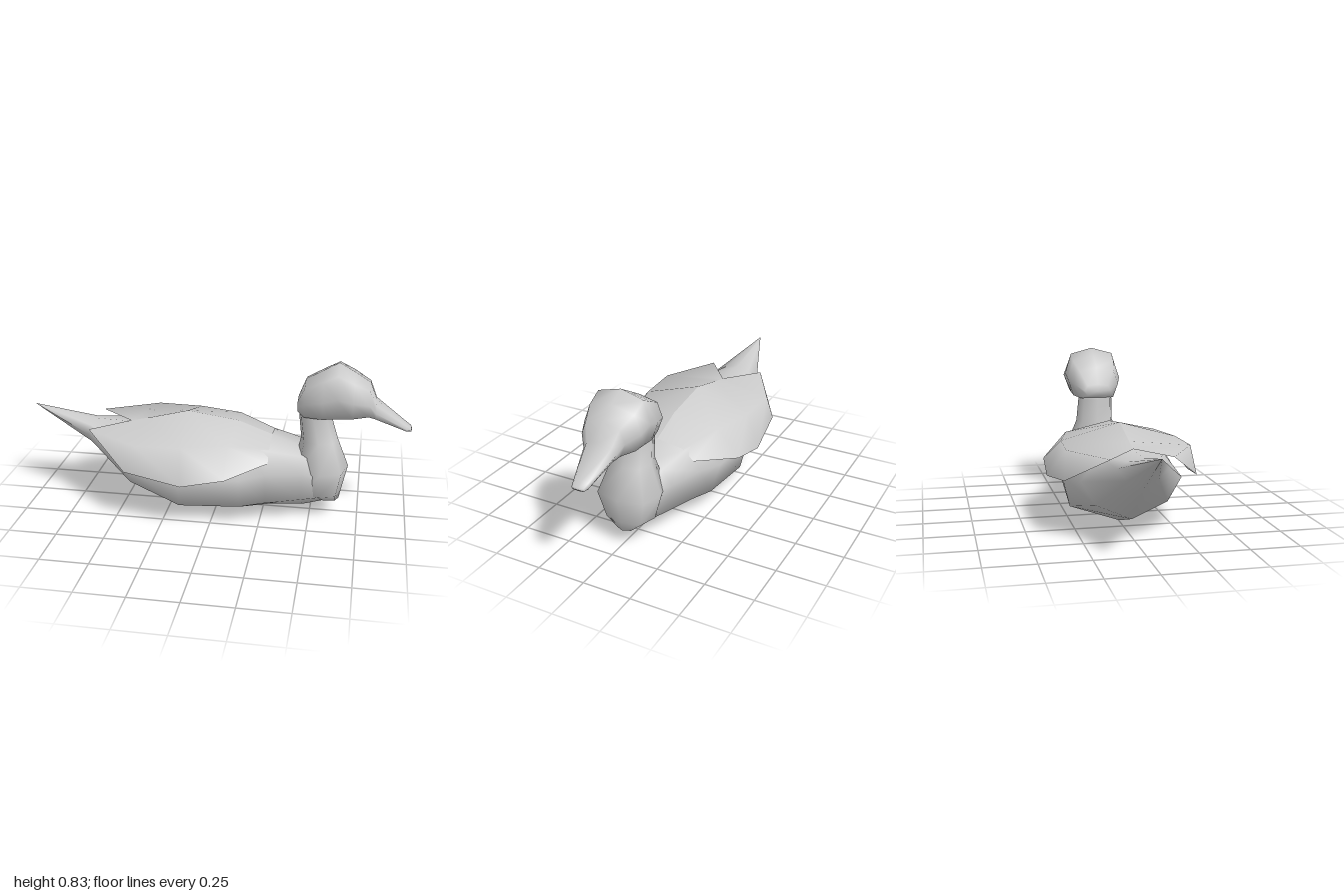
import * as THREE from 'three';

const material = new THREE.MeshStandardMaterial({ color: 0xcccccc, side: THREE.DoubleSide });

// Skins a grid of rows of [x, y, z]; closed rows wrap around like rings.
function skin(name, rows, closed, flip = false) {
  const n = rows[0].length;
  const index = [];
  for (let i = 0; i < rows.length - 1; i++) {
    for (let j = 0; j < (closed ? n : n - 1); j++) {
      const k = (j + 1) % n;
      const a = i * n + j, b = i * n + k, c = (i + 1) * n + k, d = (i + 1) * n + j;
      index.push(...(flip ? [a, c, b, a, d, c] : [a, b, c, a, c, d]));
    }
  }
  const geometry = new THREE.BufferGeometry();
  geometry.setAttribute('position', new THREE.Float32BufferAttribute(rows.flat(2), 3));
  geometry.setIndex(index);
  geometry.computeVertexNormals();
  const mesh = new THREE.Mesh(geometry, material);
  mesh.name = name;
  return mesh;
}

const point = (x, y, z = 0) => Array.from({ length: 8 }, () => [x, y, z]);

// Eight-sided body ring: top, shoulder, side, belly, keel, mirrored in z.
function bodyRing([x, top, sz, sy, wz, wy, bz, by, keel]) {
  const half = [[sz, sy], [wz, wy], [bz, by]];
  return [
    [x, top, 0], ...half.map(([z, y]) => [x, y, z]),
    [x, keel, 0], ...half.reverse().map(([z, y]) => [x, y, -z]),
  ];
}

// Slightly boxy octagon: corner points pushed outwards.
const octagon = Array.from({ length: 8 }, (_, i) => {
  const a = (i * Math.PI) / 4, r = i % 2 ? 1.1 : 1;
  return [Math.cos(a) * r, Math.sin(a) * r];
});

export function createModel() {
  const duck = new THREE.Group();
  duck.name = 'duck';

  // Body from the pointed tail to the breast
  const bodySections = [
    [-0.67, 0.445, 0.07, 0.43, 0.125, 0.4, 0.075, 0.34, 0.295],
    [-0.44, 0.44, 0.16, 0.41, 0.25, 0.29, 0.18, 0.17, 0.09],
    [-0.16, 0.5, 0.19, 0.43, 0.3, 0.26, 0.26, 0.095, 0.005],
    [0.15, 0.465, 0.19, 0.42, 0.285, 0.27, 0.235, 0.1, 0.0],
    [0.28, 0.42, 0.16, 0.39, 0.24, 0.29, 0.19, 0.11, 0.01],
    [0.46, 0.355, 0.12, 0.355, 0.175, 0.28, 0.14, 0.12, 0.025],
    [0.64, 0.3, 0.07, 0.28, 0.1, 0.22, 0.07, 0.12, 0.078],
  ];
  duck.add(skin('body', [
    point(-1, 0.51), ...bodySections.map(bodyRing), point(0.66, 0.18),
  ], true));

  // Breast and neck: [y, back x, front x, half width]
  const neckSections = [
    [0.08, 0.5, 0.65, 0.05],
    [0.13, 0.43, 0.66, 0.125],
    [0.27, 0.41, 0.69, 0.165],
    [0.42, 0.44, 0.63, 0.105],
    [0.55, 0.425, 0.59, 0.097],
    [0.64, 0.45, 0.6, 0.09],
  ];
  duck.add(skin('neck', [
    point(0.58, 0.075),
    ...neckSections.map(([y, back, front, w]) => octagon.map(([c, s]) =>
      [(back + front) / 2 + ((front - back) / 2) * Math.max(-1, Math.min(1, c)), y, -w * s])),
    point(0.52, 0.66),
  ], true));

  // Head running into the bill: [x, top y, bottom y, half width]
  const headSections = [
    [0.42, 0.64, 0.57, 0.075],
    [0.455, 0.735, 0.54, 0.125],
    [0.55, 0.79, 0.535, 0.152],
    [0.62, 0.83, 0.54, 0.155],
    [0.7, 0.785, 0.55, 0.152],
    [0.78, 0.735, 0.562, 0.115],
    [0.815, 0.645, 0.552, 0.085],
    [0.97, 0.528, 0.492, 0.045],
    [0.995, 0.51, 0.492, 0.036],
  ];
  duck.add(skin('headAndBill', [
    point(0.42, 0.6),
    ...headSections.map(([x, top, bottom, w]) => octagon.map(([c, s]) =>
      [x, (top + bottom) / 2 + ((top - bottom) / 2) * c, w * s])),
    point(1, 0.5),
  ], true));

  // Folded wings: each row runs from the back ridge over the shoulder to the lower edge
  const wingRows = [
    [[-0.47, 0.445, 0], [-0.66, 0.44, 0.15], [-0.66, 0.44, 0.15]],
    [[-0.38, 0.465, 0], [-0.38, 0.435, 0.31], [-0.43, 0.295, 0.33]],
    [[-0.16, 0.522, 0], [-0.14, 0.435, 0.3], [-0.13, 0.255, 0.372]],
    [[0.11, 0.485, 0], [0.09, 0.435, 0.24], [0.09, 0.3, 0.36]],
    [[0.29, 0.418, 0], [0.29, 0.395, 0.14], [0.29, 0.34, 0.205]],
  ];
  for (const [name, side] of [['frontWing', 1], ['backWing', -1]]) {
    const rows = wingRows.map((row) => row.map(([x, y, z]) => [x, y, z * side]));
    duck.add(skin(name, rows, false, side < 0));
  }

  return duck;
}
